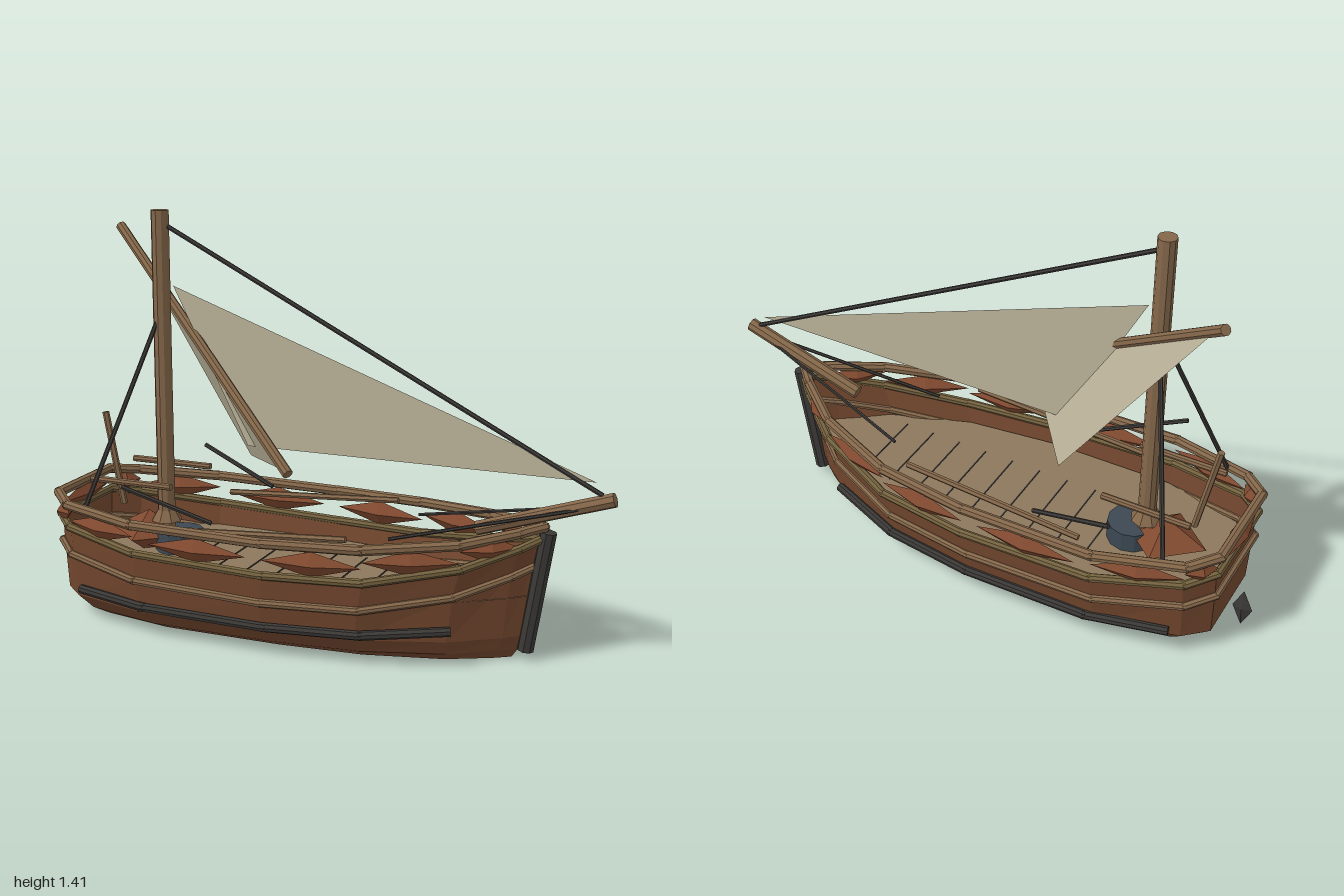
import * as THREE from 'three';

const mat = (color) => new THREE.MeshStandardMaterial({ color, flatShading: true, side: THREE.DoubleSide });
const M = {
  hull: mat(0x74482f), wood: mat(0x84674a), trim: mat(0x74623f), dark: mat(0x3b3936),
  deck: mat(0x8c785c), sail: mat(0xbab298), panel: mat(0x80492f), iron: mat(0x3c4853),
};

// Half outline at the sheer, stern to bow: x, half width, hull top height, top rail height
const STATIONS = [
  [-0.92, 0.17, 0.355, 0.43], [-0.84, 0.25, 0.335, 0.415], [-0.55, 0.33, 0.3, 0.4],
  [-0.08, 0.33, 0.285, 0.395], [0.25, 0.29, 0.29, 0.4], [0.54, 0.18, 0.34, 0.42],
  [0.7, 0.06, 0.395, 0.445], [0.76, 0, 0.42, 0.455],
];

// Closed ring around the boat, remapped to the span x0..x1 with widths scaled by k
function ring(x0, x1, k, height) {
  const half = STATIONS.map((s) => new THREE.Vector3(
    x0 + (s[0] + 0.92) / 1.68 * (x1 - x0), height(s), s[1] * k));
  const other = half.slice(0, -1).reverse().map((p) => new THREE.Vector3(p.x, p.y, -p.z));
  return half.concat(other);
}

export function createModel() {
  const boat = new THREE.Group();
  boat.name = 'sailingBoat';
  const V = (x, y, z) => new THREE.Vector3(x, y, z);

  function add(name, geometry, material, parent = boat) {
    const mesh = new THREE.Mesh(geometry, material);
    mesh.name = name;
    parent.add(mesh);
    return mesh;
  }

  // Round bar between two points
  function bar(name, a, b, r, material, parent = boat, sides = 8) {
    const d = b.clone().sub(a);
    const mesh = add(name, new THREE.CylinderGeometry(r, r, d.length(), sides), material, parent);
    mesh.position.copy(a).add(b).multiplyScalar(0.5);
    mesh.quaternion.setFromUnitVectors(V(0, 1, 0), d.normalize());
    return mesh;
  }

  // Run of bars through a list of points
  function rail(name, points, r, material, closed) {
    const g = new THREE.Group();
    g.name = name;
    boat.add(g);
    const n = points.length;
    for (let i = 0; i < (closed ? n : n - 1); i++) {
      const a = points[i], b = points[(i + 1) % n];
      const over = b.clone().sub(a).setLength(r * 0.4);
      bar(name + 'Piece', a.clone().sub(over), b.clone().add(over), r, material, g);
    }
  }

  function triangles(points) {
    const g = new THREE.BufferGeometry().setFromPoints(points);
    g.computeVertexNormals();
    return g;
  }

  // Fan over a ring, about its centreline
  function cap(points) {
    const out = [], n = points.length;
    const c = V(-0.1, points[0].y, 0);
    points.forEach((p, i) => out.push(c, p, points[(i + 1) % n]));
    return triangles(out);
  }

  // Hull skin from rings, keel upward
  const levels = [
    ring(-0.83, 0.67, 0.6, () => 0),
    ring(-0.87, 0.69, 0.77, () => 0.03),
    ring(-0.915, 0.71, 0.89, () => 0.08),
    ring(-0.92, 0.735, 0.96, (s) => s[2] - 0.1),
    ring(-0.92, 0.765, 1, (s) => s[2]),
  ];
  const skin = [];
  for (let l = 0; l < levels.length - 1; l++) {
    const lo = levels[l], hi = levels[l + 1], n = lo.length;
    for (let i = 0; i < n; i++) {
      const j = (i + 1) % n;
      skin.push(lo[i], lo[j], hi[j], lo[i], hi[j], hi[i]);
    }
  }
  add('hull', triangles(skin), M.hull);
  add('hullBottom', cap(levels[0].slice().reverse()), M.hull);
  add('deck', cap(ring(-0.91, 0.73, 0.95, () => 0.22)), M.deck);

  // Rails around the hull
  const topRail = ring(-0.93, 0.765, 1.02, (s) => s[3]);
  rail('topRail', topRail, 0.018, M.wood, true);
  rail('gunwale', ring(-0.925, 0.77, 1.01, (s) => s[2]), 0.015, M.trim, true);
  rail('middleRail', ring(-0.925, 0.74, 0.97, (s) => s[2] - 0.1), 0.014, M.wood, true);

  // Diamond panels between gunwale and top rail
  const gunwale = levels[4];
  gunwale.forEach((p, i) => {
    const j = (i + 1) % gunwale.length;
    const a = p.clone().lerp(topRail[i], 0.45);
    const b = gunwale[j].clone().lerp(topRail[j], 0.45);
    const len = a.distanceTo(b);
    if (len < 0.09) return;
    const d = add('railDiamond', new THREE.OctahedronGeometry(1), M.panel);
    d.scale.set(Math.min(len * 0.5, 0.18), 0.043, 0.03);
    d.position.copy(a).add(b).multiplyScalar(0.5);
    d.rotation.y = -Math.atan2(b.z - a.z, b.x - a.x);
  });

  // Stem post, bowsprit and stern fin
  bar('stemPost', V(0.715, 0.03, 0), V(0.78, 0.44, 0), 0.028, M.dark);
  bar('bowsprit', V(0.54, 0.425, 0), V(0.99, 0.57, 0), 0.024, M.wood);
  const fin = add('sternFin', new THREE.OctahedronGeometry(1), M.dark);
  fin.scale.set(0.035, 0.075, 0.012);
  fin.position.set(-0.965, 0.08, 0);

  // Mast with its collar, drum and base block
  bar('mast', V(-0.6, 0.22, 0), V(-0.6, 1.41, 0), 0.031, M.wood, boat, 10);
  add('mastCollar', new THREE.CylinderGeometry(0.032, 0.055, 0.04, 8), M.wood).position.set(-0.6, 0.34, 0);
  add('drum', new THREE.CylinderGeometry(0.085, 0.085, 0.07, 12), M.iron).position.set(-0.55, 0.255, 0);
  const block = add('mastBlock', new THREE.OctahedronGeometry(1), M.panel);
  block.scale.set(0.15, 0.08, 0.13);
  block.position.set(-0.67, 0.27, 0);

  // Yard and sails
  bar('yard', V(-0.89, 1.32, -0.24), V(-0.01, 0.615, 0.27), 0.018, M.wood);
  add('mainSail', triangles([V(-0.86, 1.3, -0.225), V(-0.34, 0.545, -0.15), V(-0.02, 0.62, 0.26)]), M.sail);
  add('jib', triangles([V(-0.555, 1.155, 0), V(-0.28, 0.62, 0), V(0.93, 0.62, 0)]), M.sail);
  bar('foreStay', V(-0.57, 1.355, 0), V(0.95, 0.58, 0), 0.008, M.dark, boat, 6);

  // Stern post
  bar('tillerPost', V(-0.835, 0.69, 0), V(-0.77, 0.36, 0), 0.012, M.wood, boat, 6);

  // Paired parts on both sides
  for (const s of [1, -1]) {
    rail('rubbingStrake', [V(-0.8, 0.115, 0.255 * s), V(-0.53, 0.105, 0.31 * s), V(-0.08, 0.1, 0.312 * s),
      V(0.24, 0.105, 0.275 * s), V(0.51, 0.125, 0.18 * s)], 0.016, M.dark, false);
    bar('shroud', V(-0.61, 1.03, 0.02 * s), V(-0.775, 0.4, 0.27 * s), 0.008, M.dark, boat, 6);
    bar('bowspritRope', V(0.95, 0.545, 0), V(0.29, 0.4, 0.15 * s), 0.006, M.dark, boat, 6);
    bar('sternBench', V(-0.81, 0.487, 0.15 * s), V(-0.5, 0.487, 0.15 * s), 0.012, M.wood);
    bar('oar', V(-0.47, 0.37, 0.25 * s), V(0.18, 0.412, 0.245 * s), 0.011, M.wood, boat, 6);
    bar('oarHandle', V(-0.6, 0.52, 0.31 * s), V(-0.3, 0.41, 0.245 * s), 0.008, M.dark, boat, 6);
  }

  // Deck seams
  for (let i = 0; i < 9; i++) {
    const seam = add('deckSeam', new THREE.BoxGeometry(0.004, 0.004, 0.3), M.dark);
    seam.position.set(-0.45 + i * 0.11, 0.221, 0);
  }
  return boat;
}
